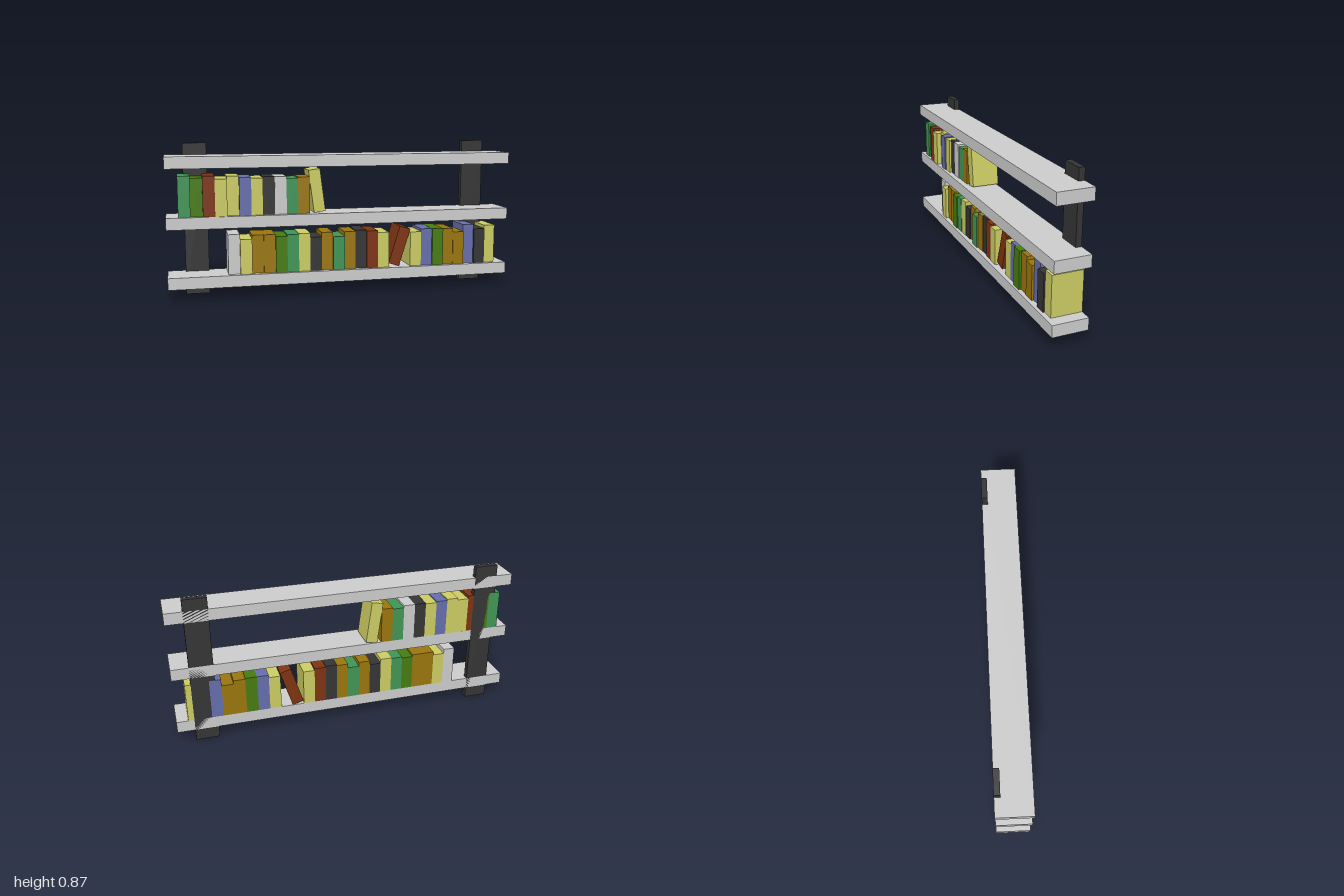
import * as THREE from 'three';

const mat = (name, color) => {
  const m = new THREE.MeshStandardMaterial({ color });
  m.name = name;
  return m;
};

export function createModel() {
  const group = new THREE.Group();
  group.name = 'wallBookshelf';

  const grey = mat('lightGrey', 0xcccccc);
  const black = mat('charcoal', 0x353535);
  const yellow = mat('paleYellow', 0xcccc64);
  const green = mat('seaGreen', 0x409556);
  const moss = mat('mossGreen', 0x467c10);
  const red = mat('rustRed', 0x7e3412);
  const blue = mat('slateBlue', 0x656eac);
  const ochre = mat('ochre', 0x9a760e);

  const BACK = -0.1;    // all parts are flush with the wall
  const STEP = 0.0667;  // thickness of a book

  // Box with its back against the wall, given its centre in x and y
  function box(name, material, w, h, depth, x, y, tilt = 0, parent = group) {
    const mesh = new THREE.Mesh(new THREE.BoxGeometry(w, h, depth), material);
    mesh.name = name;
    mesh.position.set(x, y, BACK + depth / 2);
    mesh.rotation.z = tilt;
    parent.add(mesh);
  }

  // Shelf boards and wall uprights
  for (const y of [0.1, 0.4333, 0.7667]) box('shelfBoard', grey, 2, 0.0667, 0.2, 0, y);
  for (const side of [-1, 1]) box('upright', black, 0.1333, 0.8667, 0.0333, side * 0.8333, 0.4333);

  // Row of upright books: [colour, top height, front z]
  function bookRow(name, startX, floor, books) {
    const row = new THREE.Group();
    row.name = name;
    books.forEach(([material, top, front], i) => {
      box('book', material, STEP, top - floor, front - BACK,
        startX + (i + 0.5) * STEP, (top + floor) / 2, 0, row);
    });
    group.add(row);
  }

  bookRow('upperBooks', -0.9333, 0.4667, [
    [green, 0.693, 0.085], [moss, 0.68, 0.075], [red, 0.692, 0.093], [yellow, 0.675, 0.094],
    [yellow, 0.687, 0.066], [blue, 0.681, 0.087], [yellow, 0.675, 0.08], [black, 0.68, 0.067],
    [grey, 0.68, 0.07], [green, 0.668, 0.065], [ochre, 0.675, 0.065],
  ]);

  bookRow('lowerBooksLeft', -0.6667, 0.1333, [
    [grey, 0.36, 0.07], [yellow, 0.333, 0.088], [ochre, 0.353, 0.07], [ochre, 0.353, 0.075],
    [moss, 0.342, 0.085], [green, 0.349, 0.08], [yellow, 0.353, 0.078], [black, 0.328, 0.075],
    [ochre, 0.353, 0.068], [green, 0.328, 0.085], [ochre, 0.353, 0.075], [black, 0.358, 0.07],
    [red, 0.353, 0.078], [yellow, 0.342, 0.08],
  ]);

  bookRow('lowerBooksRight', 0.4, 0.1333, [
    [yellow, 0.337, 0.075], [blue, 0.353, 0.075], [moss, 0.354, 0.088], [ochre, 0.349, 0.075],
    [ochre, 0.328, 0.08], [blue, 0.368, 0.067], [black, 0.342, 0.082], [yellow, 0.361, 0.074],
  ]);

  // Leaning books
  box('leaningBook', yellow, 0.0667, 0.246, 0.16, -0.157, 0.594, 0.13);
  box('leaningBook', red, 0.0667, 0.23, 0.167, 0.336, 0.2535, -0.3);

  return group;
}
